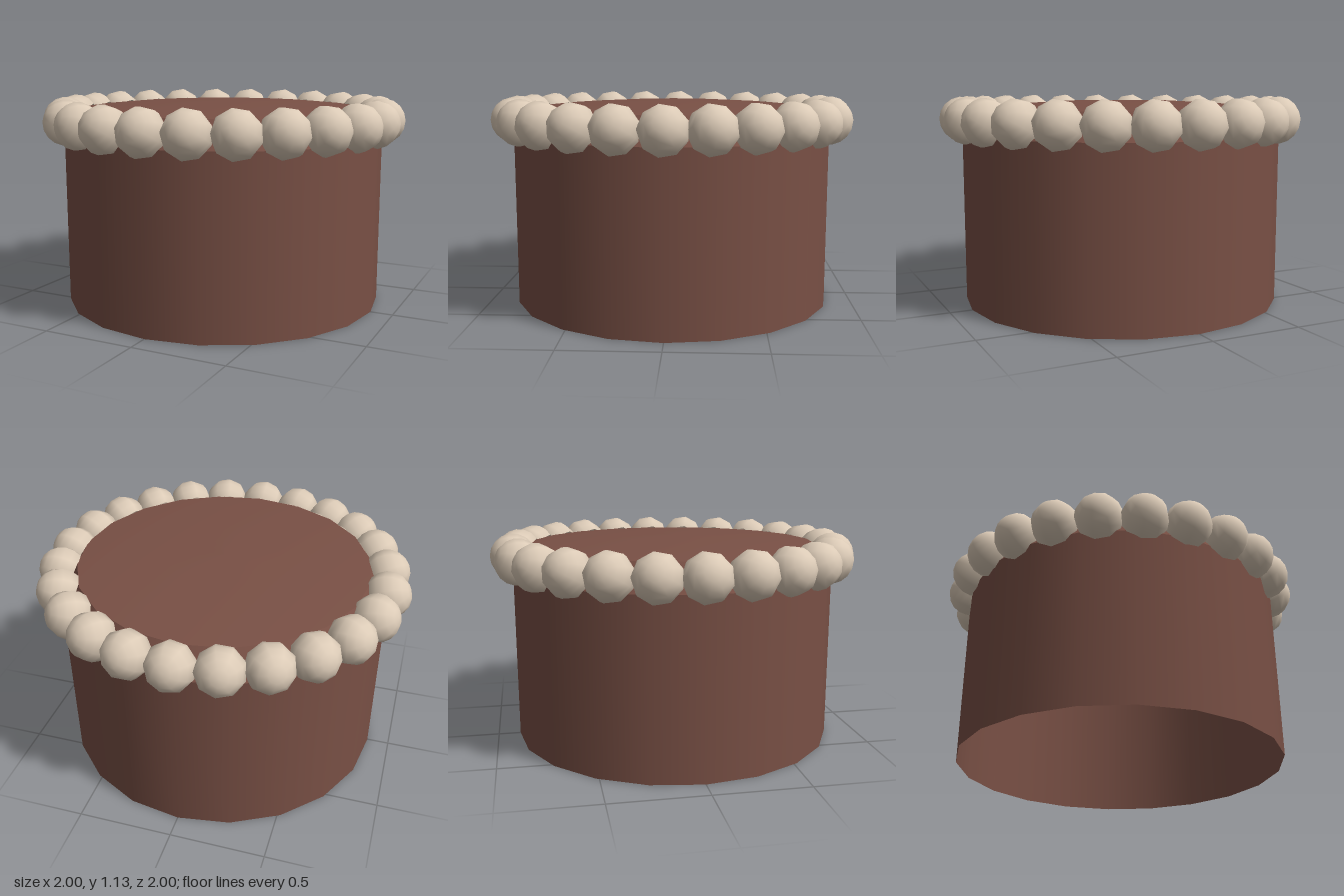
import * as THREE from 'three';

export function createModel() {
  const model = new THREE.Group();
  const brown = new THREE.MeshStandardMaterial({ color: 0x795045, side: THREE.DoubleSide });
  brown.name = 'chocolate brown';
  const cream = new THREE.MeshStandardMaterial({ color: 0xdccbb7, side: THREE.DoubleSide });
  cream.name = 'cream';

  // Revolved twenty-sided shell from [radius, height] points
  const addLathe = (name, points) => {
    const profile = points.map(([r, y]) => new THREE.Vector2(r, y));
    const mesh = new THREE.Mesh(new THREE.LatheGeometry(profile, 20), brown);
    mesh.name = name;
    model.add(mesh);
  };

  // Straight side wall, open underneath
  addLathe('cakeSide', [[0.88, 0], [0.88, 0.93]]);
  // Sloped shoulder beneath the beads
  addLathe('cakeShoulder', [[0.88, 0.93], [0.785, 1.07]]);
  // Gently domed top
  addLathe('cakeTop', [[0.785, 1.07], [0.6, 1.088], [0.3, 1.105], [0, 1.11]]);

  // Ring of low-poly beads, each open on the side pressed into the cake
  const beadCount = 24;
  const beadShape = new THREE.SphereGeometry(0.125, 9, 6, 0, Math.PI * 2, 0, Math.PI * 0.68);
  beadShape.rotateX(THREE.MathUtils.degToRad(68)); // pole faces outward and a little up
  const beads = new THREE.Group();
  beads.name = 'icingBeads';
  for (let i = 0; i < beadCount; i++) {
    const angle = (i / beadCount) * Math.PI * 2;
    const bead = new THREE.Mesh(beadShape, cream);
    bead.name = 'icingBead';
    bead.position.set(Math.sin(angle) * 0.875, 1.007, Math.cos(angle) * 0.875);
    bead.rotation.y = angle;
    beads.add(bead);
  }
  model.add(beads);

  return model;
}
